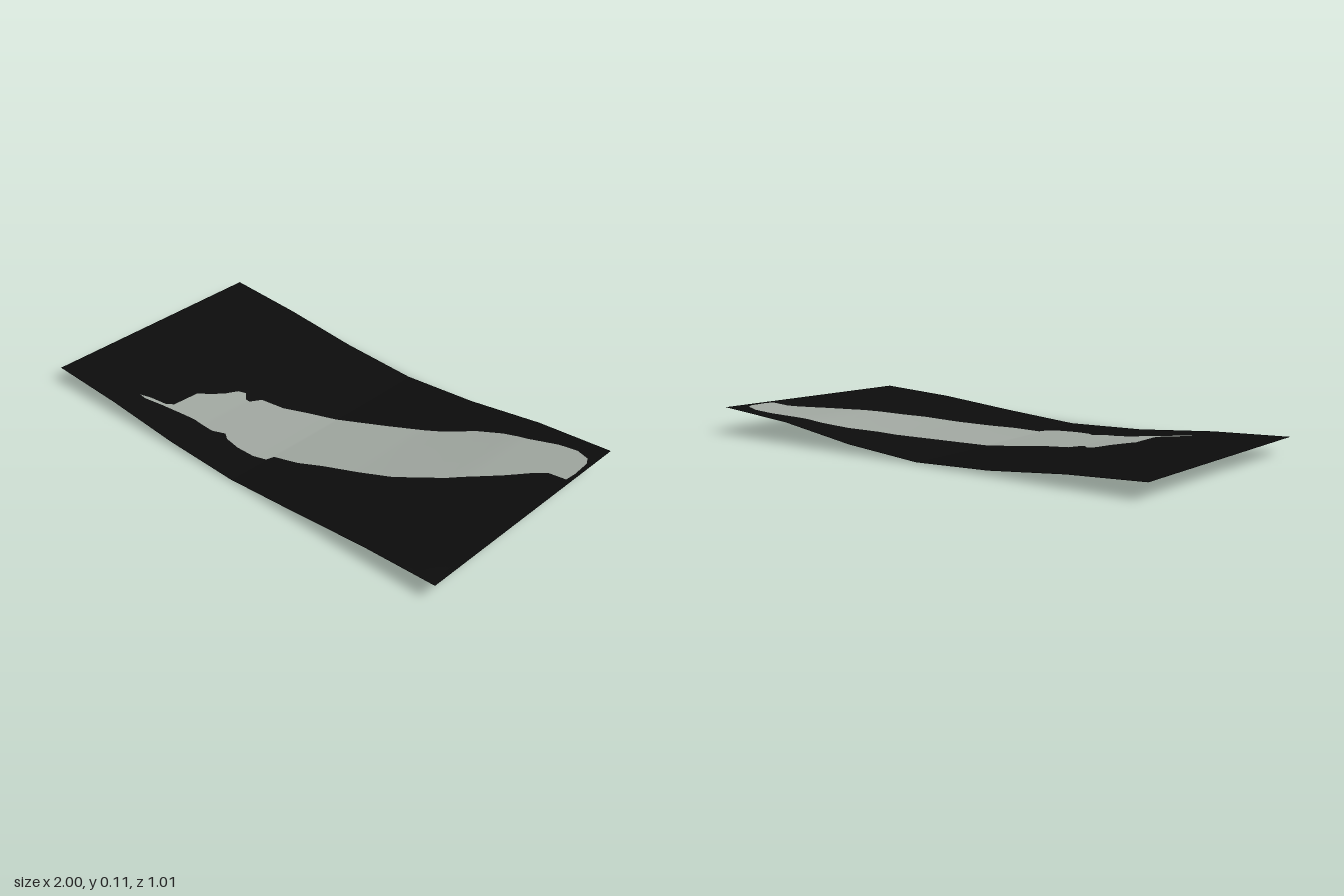
import * as THREE from 'three';

// Piecewise-linear lookup through [x, value] points, clamped at both ends
function lerpPoints(points, x) {
  if (x <= points[0][0]) return points[0][1];
  for (let i = 1; i < points.length; i++) {
    const [x0, v0] = points[i - 1], [x1, v1] = points[i];
    if (x <= x1) return v0 + (v1 - v0) * (x - x0) / (x1 - x0);
  }
  return points[points.length - 1][1];
}

// Height of the curled sheet along its front and back edges
const frontHeight = [[-1, 0.065], [-0.667, 0.048], [-0.333, 0.018], [0, 0.006], [0.333, 0.028], [0.667, 0.054], [1, 0.067]];
const backHeight = [[-1, 0.065], [-0.667, 0.048], [-0.333, 0.018], [0, 0.006], [0.333, 0.034], [0.667, 0.083], [1, 0.108]];

// Back and front outlines of the pale marking, as z over x
const markBack = [
  [-0.64, 0.388], [-0.6, 0.37], [-0.53, 0.353], [-0.505, 0.33], [-0.5, 0.21], [-0.47, 0.18], [-0.43, 0.13],
  [-0.405, 0.075], [-0.375, 0.06], [-0.345, 0.09], [-0.325, 0.09], [-0.3, 0.045], [-0.2, 0.025], [-0.1, -0.025],
  [0, -0.07], [0.2, -0.16], [0.4, -0.255], [0.5, -0.325], [0.6, -0.365], [0.7, -0.385], [0.82, -0.422],
  [0.9, -0.43], [0.96, -0.41], [0.978, -0.38], [0.983, -0.3],
];
const markFront = [
  [-0.64, 0.388], [-0.61, 0.39], [-0.53, 0.368], [-0.43, 0.345], [-0.38, 0.335], [-0.28, 0.335], [-0.23, 0.31],
  [-0.2, 0.33], [-0.13, 0.34], [-0.05, 0.335], [0, 0.315], [0.01, 0.282], [0.11, 0.255], [0.2, 0.21], [0.3, 0.17],
  [0.46, 0.105], [0.54, 0.05], [0.62, 0], [0.7, -0.07], [0.78, -0.14], [0.86, -0.22], [0.9, -0.25],
  [0.978, -0.255], [0.983, -0.3],
];

// Place a flat sheet coordinate on the curled surface
function onSheet(x, z) {
  const t = 0.5 - z;
  const y = THREE.MathUtils.lerp(lerpPoints(frontHeight, x), lerpPoints(backHeight, x), t)
    - 0.005 * (1 - x * x) * (1 - 4 * z * z);
  const right = Math.max(x, 0);
  return [x - 0.01 * right * t, y, z - 0.008 * right * t];
}

// Strip of the sheet between two z outlines
function ribbon(name, xs, backEdge, frontEdge, material) {
  const rows = 6, positions = [], index = [];
  xs.forEach((x, i) => {
    for (let j = 0; j <= rows; j++) {
      const z = THREE.MathUtils.lerp(backEdge(x), frontEdge(x), j / rows);
      positions.push(...onSheet(x, z));
      if (i < xs.length - 1 && j < rows) {
        const a = i * (rows + 1) + j, b = a + rows + 1;
        index.push(a, a + 1, b, a + 1, b + 1, b);
      }
    }
  });
  const geometry = new THREE.BufferGeometry();
  geometry.setAttribute('position', new THREE.Float32BufferAttribute(positions, 3));
  geometry.setIndex(index);
  geometry.computeVertexNormals();
  const mesh = new THREE.Mesh(geometry, material);
  mesh.name = name;
  return mesh;
}

export function createModel() {
  const black = new THREE.MeshStandardMaterial({ color: 0x0c0c0c, side: THREE.DoubleSide });
  black.name = 'black';
  const paleGrey = new THREE.MeshStandardMaterial({ color: 0x9fa69f, side: THREE.DoubleSide });
  paleGrey.name = 'pale grey';

  // Columns at every fold and outline point, so neighbouring strips meet exactly
  const xs = [...new Set([...frontHeight, ...markBack, ...markFront].map((p) => p[0]))].sort((a, b) => a - b);
  const markXs = xs.filter((x) => x >= -0.64 && x <= 0.983);
  const back = (x) => lerpPoints(markBack, x);
  const front = (x) => lerpPoints(markFront, x);

  const group = new THREE.Group();
  group.name = 'curledSheet';
  group.add(
    ribbon('sheetBack', xs, () => -0.5, back, black),
    ribbon('sheetFront', xs, front, () => 0.5, black),
    ribbon('paleMarking', markXs, back, front, paleGrey),
  );
  return group;
}
